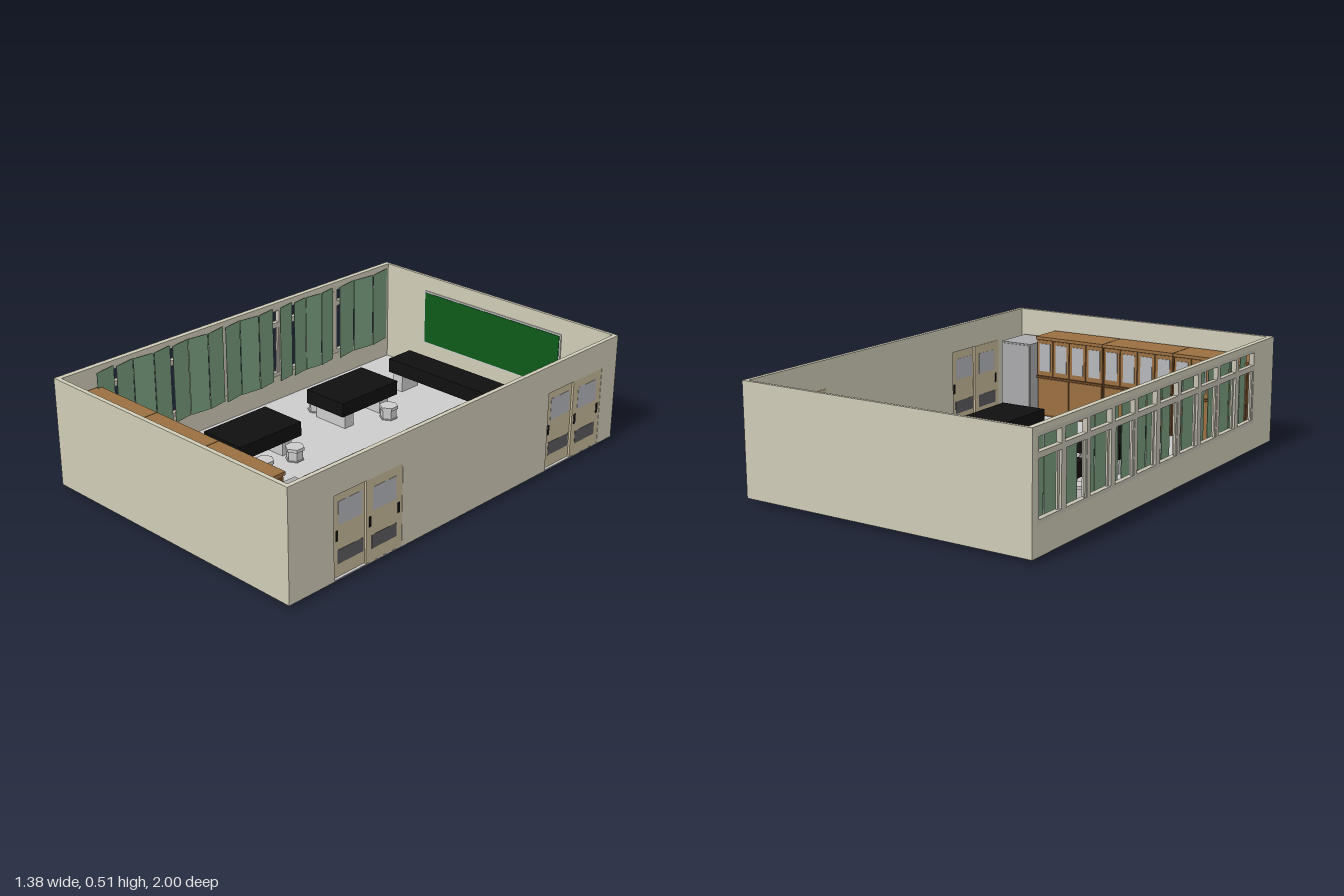
import * as THREE from 'three';

const mat = (color) => new THREE.MeshStandardMaterial({ color, flatShading: true, side: THREE.DoubleSide });
const M = {
  wall: mat(0xcfcbb7), floor: mat(0xcccccc), door: mat(0xc6b898), glass: mat(0xb4b6ba),
  dark: mat(0x5a5a5e), black: mat(0x101010), grey: mat(0xcccccc), locker: mat(0xaaaaac),
  brown: mat(0x9a6f40), brownDark: mat(0x6e4a26), green: mat(0x0c5a18), blind: mat(0x789c7e), frame: mat(0xc4c0b2),
};
const FLOOR = 0.025;

// Box given by its minimum and maximum on each axis
function box(parent, name, material, x0, x1, y0, y1, z0, z1) {
  const mesh = new THREE.Mesh(new THREE.BoxGeometry(x1 - x0, y1 - y0, z1 - z0), material);
  mesh.position.set((x0 + x1) / 2, (y0 + y1) / 2, (z0 + z1) / 2);
  mesh.name = name;
  parent.add(mesh);
  return mesh;
}

function group(parent, name) {
  const g = new THREE.Group();
  g.name = name;
  parent.add(g);
  return g;
}

const rect = (P, z0, z1, y0, y1) => {
  const p = new P();
  p.moveTo(z0, y0).lineTo(z1, y0).lineTo(z1, y1).lineTo(z0, y1).closePath();
  return p;
};

// Long wall with rectangular openings [z0, z1, y0, y1], starting at xMin
function openWall(parent, name, xMin, depth, openings) {
  const shape = rect(THREE.Shape, -1, 1, 0.02, 0.51);
  for (const o of openings) shape.holes.push(rect(THREE.Path, ...o));
  const geo = new THREE.ExtrudeGeometry(shape, { depth, bevelEnabled: false });
  geo.rotateY(-Math.PI / 2); // shape x becomes z, depth becomes -x
  geo.translate(xMin + depth, 0, 0);
  const mesh = new THREE.Mesh(geo, M.wall);
  mesh.name = name;
  parent.add(mesh);
}

// One sliding door leaf with window, kick plate and handles on both faces
function doorLeaf(parent, x, z, handles) {
  const g = group(parent, 'doorLeaf');
  box(g, 'doorPanel', M.door, x - 0.005, x + 0.005, 0.022, 0.385, z - 0.1, z + 0.1);
  box(g, 'doorWindow', M.glass, x - 0.006, x + 0.006, 0.245, 0.345, z - 0.065, z + 0.065);
  box(g, 'kickPlate', M.dark, x - 0.006, x + 0.006, 0.08, 0.14, z - 0.07, z + 0.07);
  for (const h of handles) box(g, 'doorHandle', M.black, x - 0.007, x + 0.007, 0.18, 0.225, z + h - 0.006, z + h + 0.006);
}

// Workbench with thick black top and grey end supports
function table(parent, x, z) {
  const g = group(parent, 'table');
  box(g, 'tableTop', M.black, x - 0.115, x + 0.115, 0.1, 0.167, z - 0.18, z + 0.18);
  for (const s of [-1, 1]) {
    const c = z + s * 0.115;
    box(g, 'tableLeg', M.grey, x - 0.092, x + 0.092, 0.021, 0.1, c - 0.028, c + 0.028);
  }
}

// Six-sided stool with wide foot and seat
function stool(parent, x, z) {
  const g = group(parent, 'stool');
  for (const [name, r, y0, y1] of [['stoolFoot', 0.043, 0, 0.03], ['stoolBody', 0.037, 0.03, 0.072], ['stoolSeat', 0.044, 0.072, 0.087]]) {
    const mesh = new THREE.Mesh(new THREE.CylinderGeometry(r, name === 'stoolFoot' ? 0.036 : r, y1 - y0, 6), M.grey);
    mesh.position.y = (y0 + y1) / 2;
    mesh.name = name;
    g.add(mesh);
  }
  g.position.set(x, 0, z);
}

// Tall cupboard: two solid doors below, four glazed doors above, facing -z
function cupboard(parent, x0, x1) {
  const g = group(parent, 'cupboard');
  const w = x1 - x0;
  box(g, 'cupboardBody', M.brownDark, x0 + 0.003, x1 - 0.003, FLOOR, 0.405, 0.81, 0.965);
  box(g, 'cupboardTop', M.brown, x0, x1, 0.405, 0.42, 0.797, 0.967);
  box(g, 'cupboardShelf', M.brownDark, x0, x1, 0.215, 0.225, 0.8, 0.81);
  for (let i = 0; i < 2; i++) {
    const a = x0 + (i * w) / 2;
    box(g, 'lowerDoor', M.brown, a + 0.006, a + w / 2 - 0.006, 0.035, 0.212, 0.804, 0.81);
  }
  for (let i = 0; i < 4; i++) {
    const a = x0 + (i * w) / 4;
    box(g, 'upperDoor', M.brown, a + 0.004, a + w / 4 - 0.004, 0.228, 0.402, 0.805, 0.81);
    box(g, 'upperGlass', M.glass, a + 0.016, a + w / 4 - 0.016, 0.25, 0.385, 0.802, 0.806);
  }
}

export function createModel() {
  const room = new THREE.Group();
  room.name = 'laboratoryRoom';

  // Floor and walls
  box(room, 'floor', M.floor, -0.689, 0.689, 0.0205, FLOOR, -0.999, 0.999);
  box(room, 'backWall', M.wall, -0.665, 0.67, 0.02, 0.51, -1, -0.985);
  box(room, 'frontWall', M.wall, -0.665, 0.67, 0.02, 0.51, 0.98, 1);
  const doorShifts = [0, -1.285];
  openWall(room, 'doorWall', 0.67, 0.02, doorShifts.map((s) => [0.39 + s, 0.765 + s, 0.021, 0.385]));
  const win = { z0: -0.97, z1: 0.81, y0: 0.145, y1: 0.485, bar: 0.4 };
  openWall(room, 'windowWall', -0.69, 0.025, [[win.z0, win.z1, win.y0, win.y1]]);

  // Two pairs of sliding doors, the front leaf of each set further in
  for (const s of doorShifts) {
    const pair = group(room, 'slidingDoors');
    doorLeaf(pair, 0.672, 0.665 + s, [0.075]);
    doorLeaf(pair, 0.6835, 0.49 + s, [0.08, -0.08]);
  }

  // Window frames: rails, mullions and alternating sliding sashes
  const windows = group(room, 'windows');
  const rail = (y, h) => box(windows, 'windowRail', M.frame, -0.69, -0.667, y - h, y + h, win.z0, win.z1);
  rail(win.y0 + 0.008, 0.008);
  rail(win.bar, 0.012);
  rail(win.y1 - 0.008, 0.008);
  const panes = 10, step = (win.z1 - win.z0) / panes;
  for (let i = 0; i <= panes; i++) {
    const z = win.z0 + i * step;
    box(windows, 'mullion', M.frame, -0.69, -0.667, win.y0, win.y1, Math.max(z - 0.013, win.z0), Math.min(z + 0.013, win.z1));
    if (i === panes) break;
    const x = i % 2 ? -0.684 : -0.676;
    for (const e of [z + 0.013, z + step - 0.025])
      box(windows, 'sashStile', M.frame, x - 0.004, x + 0.004, win.y0, win.bar, e, e + 0.012);
  }

  // Vertical blinds hung inside the windows, parted in two places
  const blinds = group(room, 'blinds');
  for (const [a, b, n] of [[-0.97, -0.62, 3], [-0.59, -0.23, 4], [-0.2, 0.82, 10]]) {
    const w = (b - a) / n;
    for (let i = 0; i < n; i++) {
      const slat = box(blinds, 'blindSlat', M.blind, -0.652, -0.65, 0.125, 0.49, a + i * w, a + (i + 1) * w);
      slat.rotation.y = i % 3 === 1 ? -0.12 : 0.17;
    }
  }

  // Writing board on the back wall
  const board = group(room, 'writingBoard');
  box(board, 'boardFrame', M.grey, -0.42, 0.4, 0.165, 0.435, -0.986, -0.98);
  box(board, 'boardSurface', M.green, -0.412, 0.392, 0.173, 0.427, -0.981, -0.977);

  // Demonstration bench
  const bench = group(room, 'demonstrationBench');
  box(bench, 'benchTop', M.black, -0.38, 0.4, 0.11, 0.178, -0.835, -0.69);
  for (const x of [-0.36, 0.298]) box(bench, 'benchLeg', M.grey, x, x + 0.057, 0.021, 0.11, -0.81, -0.7);

  // Work tables and stools; a few seats are left out
  const missing = ['0.445,-0.445', '-0.155,-0.27', '0.145,0.335'];
  for (const [z, rows] of [[-0.36, [-0.445, -0.27]], [0.26, [0.155, 0.335]]]) {
    for (const x of [-0.305, 0.303]) table(room, x, z);
    for (const x of [-0.45, -0.155, 0.145, 0.445])
      for (const r of rows) if (!missing.includes(`${x},${r}`)) stool(room, x, r);
  }

  // Cupboards and locker along the front wall
  for (let i = 0; i < 3; i++) cupboard(room, -0.655 + i * 0.375, -0.28 + i * 0.375 - 0.003);
  const locker = group(room, 'locker');
  box(locker, 'lockerBody', M.locker, 0.472, 0.64, FLOOR, 0.385, 0.755, 0.96);
  box(locker, 'lockerDoor', M.locker, 0.478, 0.634, 0.035, 0.378, 0.75, 0.755);

  return room;
}
